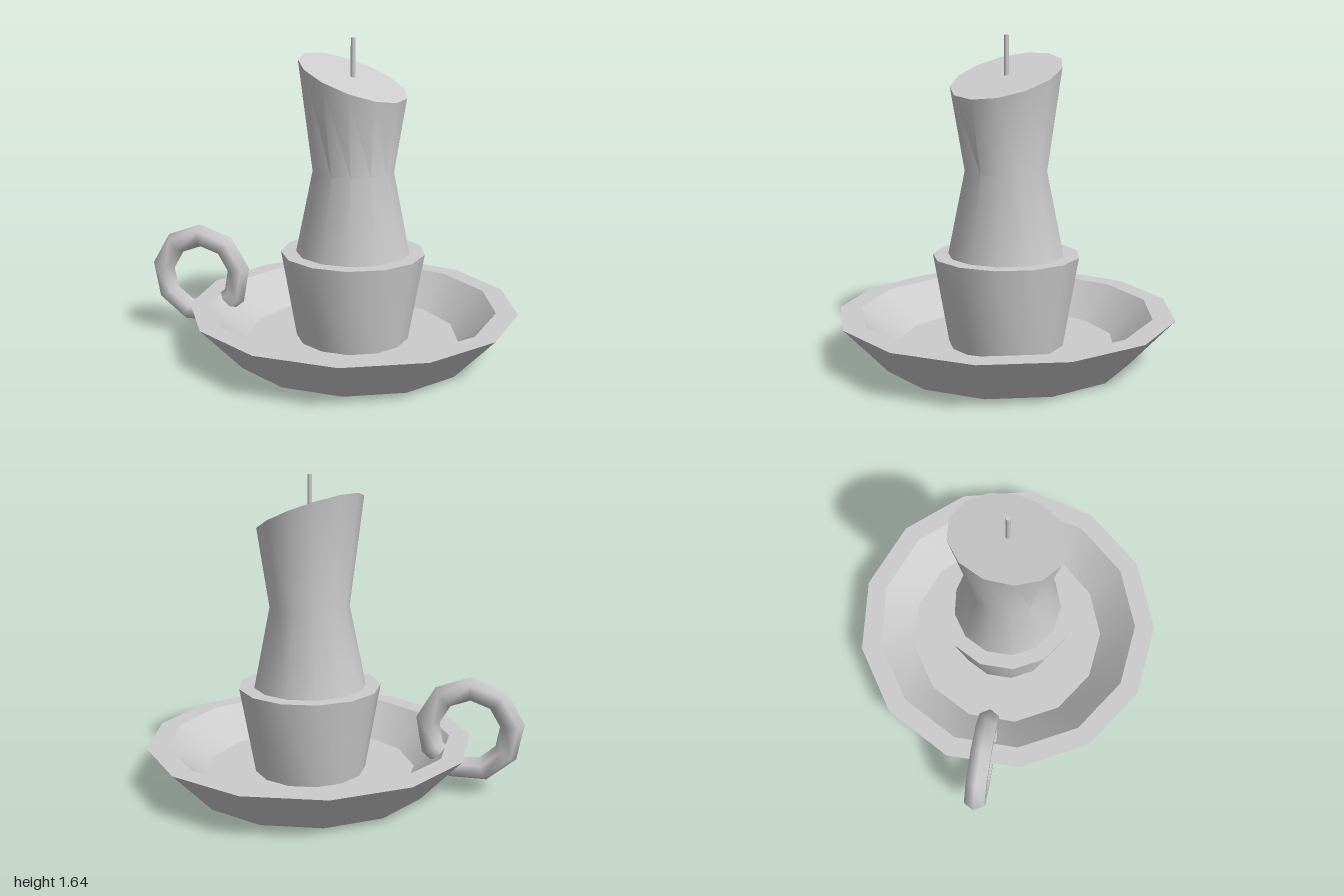
import * as THREE from 'three';
import { toCreasedNormals } from 'three/addons/utils/BufferGeometryUtils.js';

const SIDES = 13;
const AXIS_X = 0.133;
const material = new THREE.MeshStandardMaterial({ color: 0xcccccc, side: THREE.DoubleSide });

function lathe(profile) {
  const points = profile.map(([r, y]) => new THREE.Vector2(r, y));
  return new THREE.LatheGeometry(points, SIDES, Math.PI / 2);
}

function addMesh(group, name, geometry, x, y = 0) {
  const mesh = new THREE.Mesh(geometry, material);
  mesh.name = name;
  mesh.position.set(x, y, 0);
  group.add(mesh);
}

export function createModel() {
  const group = new THREE.Group();
  group.name = 'candleHolder';

  // Dish: sloping outer wall (open underneath), rim, inner wall and floor with a central hole
  const dish = lathe([[0.645, 0], [0.867, 0.24], [0.755, 0.24], [0.567, 0.065], [0.3, 0.065]]);
  addMesh(group, 'dish', toCreasedNormals(dish, 0.6), AXIS_X);

  // Cup: flared socket with a flat rim running in to the candle
  const cup = lathe([[0.3, 0.065], [0.38, 0.53], [0.3, 0.53]]);
  addMesh(group, 'cup', toCreasedNormals(cup, 0.6), AXIS_X);

  // Candle: waisted body, its top cut on a slant
  const candle = lathe([[0.3, 0.53], [0.212, 0.96], [0.285, 1.443], [0, 1.443]]);
  const pos = candle.attributes.position;
  for (let i = 0; i < pos.count; i++) {
    if (pos.getY(i) < 1.4) continue;
    pos.setY(i, 1.443 - 0.36 * pos.getX(i) - 0.165 * pos.getZ(i));
    pos.setX(i, pos.getX(i) * 0.975 - 0.006);
  }
  addMesh(group, 'candle', toCreasedNormals(candle, 0.6), AXIS_X);

  // Wick
  addMesh(group, 'wick', new THREE.CylinderGeometry(0.012, 0.012, 0.2, 8), 0.127, 1.54);

  // Ring handle through the dish wall
  const handle = new THREE.TorusGeometry(0.22, 0.0625, 6, 9).rotateZ(Math.PI / 2);
  addMesh(group, 'handle', handle, -0.722, 0.343);

  return group;
}
